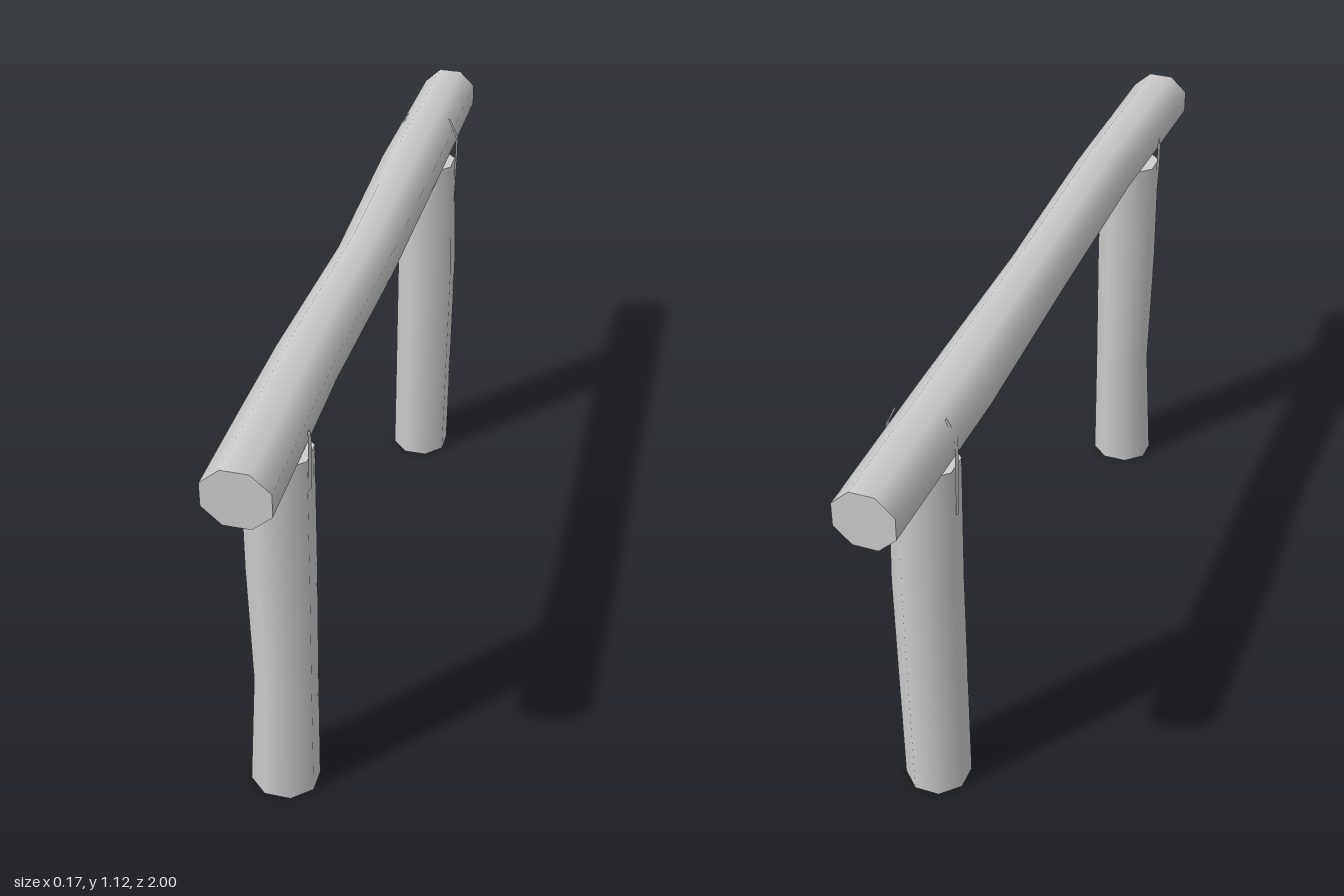
import * as THREE from 'three';

const material = new THREE.MeshStandardMaterial({ color: 0xcccccc });
const strapMaterial = new THREE.MeshStandardMaterial({ color: 0xcccccc, side: THREE.DoubleSide });

// Eight-sided log along y; each station is [y, centre x, centre z, half width x, half width z]
function makeLog(name, stations) {
  const n = stations.length - 1;
  const geo = new THREE.CylinderGeometry(1, 1, 1, 8, n, false, Math.PI / 8);
  const k = 1 / Math.cos(Math.PI / 8);
  const p = geo.attributes.position;
  for (let i = 0; i < p.count; i++) {
    const [y, cx, cz, hx, hz] = stations[Math.round((p.getY(i) + 0.5) * n)];
    p.setXYZ(i, cx + p.getX(i) * hx * k, y, cz + p.getZ(i) * hz * k);
  }
  const mesh = new THREE.Mesh(geo, material);
  mesh.name = name;
  return mesh;
}

// Thin strip holding the rail to a post, narrowing to its ends
function makeStrap(name, z, side, profile) {
  const pos = [], index = [];
  profile.forEach(([x, y, w], i) => {
    pos.push(side * x, y, z - w, side * (x + 0.004), y, z, side * x, y, z + w);
    if (i === 0) return;
    const a = (i - 1) * 3;
    for (const j of [a, a + 1]) index.push(j, j + 3, j + 1, j + 1, j + 3, j + 4);
  });
  const geo = new THREE.BufferGeometry();
  geo.setAttribute('position', new THREE.Float32BufferAttribute(pos, 3));
  geo.setIndex(index);
  geo.computeVertexNormals();
  const mesh = new THREE.Mesh(geo, strapMaterial);
  mesh.name = name;
  return mesh;
}

export function createModel() {
  const group = new THREE.Group();
  group.name = 'hitchingRail';

  // Upright posts, slightly bowed
  group.add(makeLog('frontPost', [
    [0, -0.005, 0.735, 0.078, 0.071],
    [0.33, 0.004, 0.732, 0.069, 0.071],
    [0.66, 0, 0.728, 0.074, 0.073],
    [0.98, 0, 0.728, 0.074, 0.073],
  ]));
  group.add(makeLog('backPost', [
    [0, 0, -0.694, 0.074, 0.075],
    [0.33, 0.003, -0.694, 0.075, 0.074],
    [0.62, 0.006, -0.692, 0.076, 0.073],
    [0.955, 0, -0.69, 0.073, 0.07],
  ]));

  // Horizontal rail: built along y, then laid down so local y is z and local z is -y
  const rail = makeLog('rail', [
    [-1, -0.005, -1.017, 0.07, 0.067],
    [-0.5, -0.005, -1.02, 0.074, 0.069],
    [0, 0.003, -1.022, 0.067, 0.072],
    [0.5, 0.001, -1.052, 0.07, 0.068],
    [0.75, 0, -1.049, 0.073, 0.068],
    [1, 0, -1.047, 0.075, 0.068],
  ]);
  rail.rotation.x = Math.PI / 2;
  group.add(rail);

  // Straps on both sides of each joint
  for (const [label, side] of [['Left', 1], ['Right', -1]]) {
    group.add(makeStrap('frontStrap' + label, 0.745, side, [
      [0.074, 0.9, 0.012], [0.077, 0.98, 0.014], [0.077, 1.03, 0.012], [0.074, 1.05, 0.004],
    ]));
    group.add(makeStrap('backStrap' + label, -0.7, side, [
      [0.074, 0.83, 0.003], [0.077, 0.92, 0.007], [0.079, 0.98, 0.01], [0.079, 1.03, 0.009], [0.056, 1.08, 0.004],
    ]));
  }
  return group;
}
